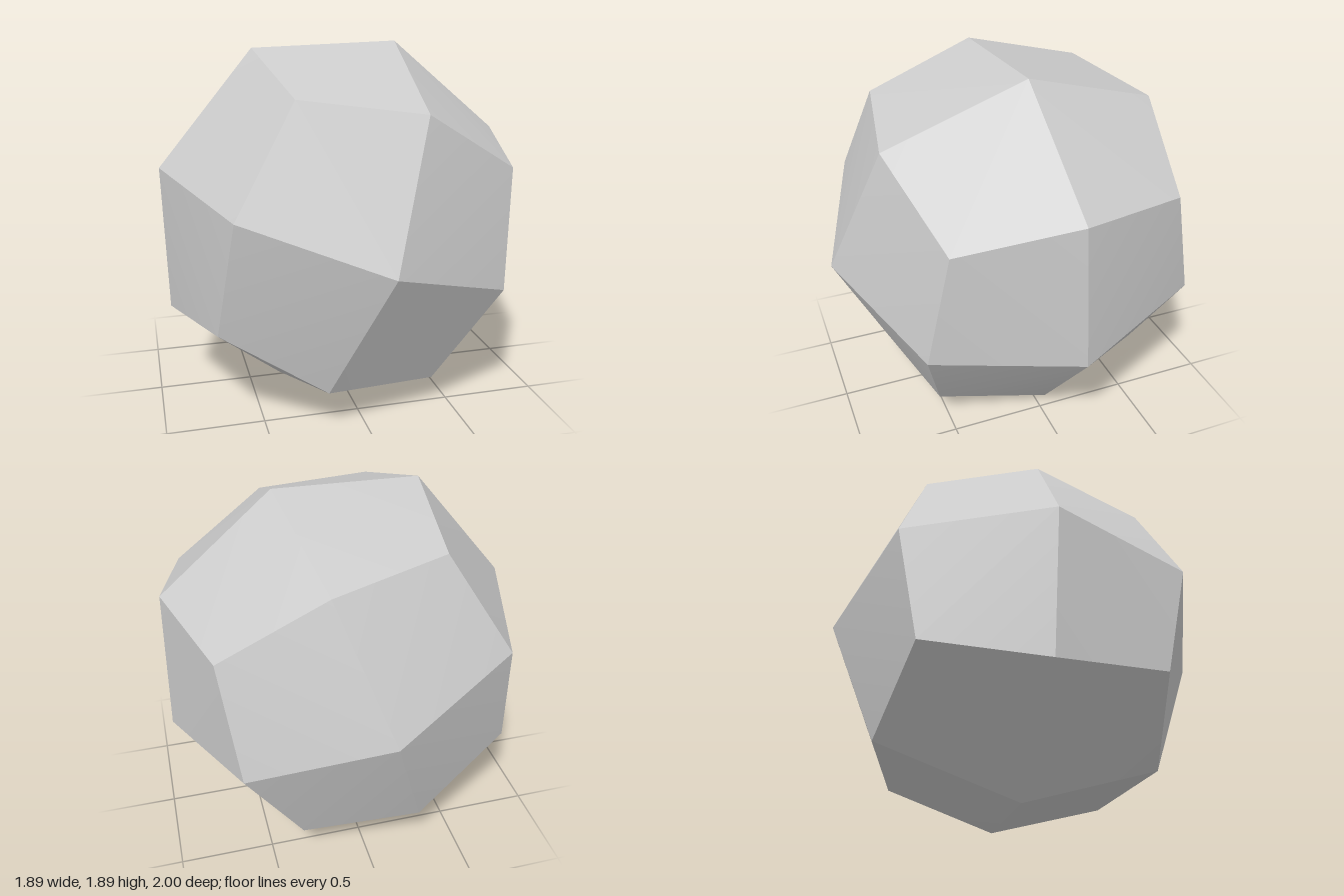
import * as THREE from 'three';
import { ConvexGeometry } from 'three/addons/geometries/ConvexGeometry.js';
import { toCreasedNormals } from 'three/addons/utils/BufferGeometryUtils.js';

export function createModel() {
  const group = new THREE.Group();
  group.name = 'facetedBall';
  const grey = new THREE.MeshStandardMaterial({ color: 0xcccccc });
  grey.name = 'lightGrey';

  // 24 kite facets: 6 axis points, 12 edge points and 8 corner points of a cube, pulled towards a sphere
  const reach = [0, 1, 0.727, 0.597];
  const points = [];
  for (let x = -1; x <= 1; x++)
    for (let y = -1; y <= 1; y++)
      for (let z = -1; z <= 1; z++) {
        const n = Math.abs(x) + Math.abs(y) + Math.abs(z);
        if (n) points.push(new THREE.Vector3(x, y, z).multiplyScalar(reach[n]));
      }

  // Tilt of the ball, given by its own side, top and front axes
  const tilt = new THREE.Matrix4().makeBasis(
    new THREE.Vector3(0.944, -0.325, -0.05),
    new THREE.Vector3(0.325, 0.945, 0.023),
    new THREE.Vector3(0.04, -0.04, 0.999)
  );
  points.forEach((p) => p.applyMatrix4(tilt));

  // Crease between kites, smooth over the slight fold inside each kite
  const ball = new THREE.Mesh(toCreasedNormals(new ConvexGeometry(points), 0.25), grey);
  ball.name = 'ball';
  ball.position.y = 0.947;
  group.add(ball);
  return group;
}
